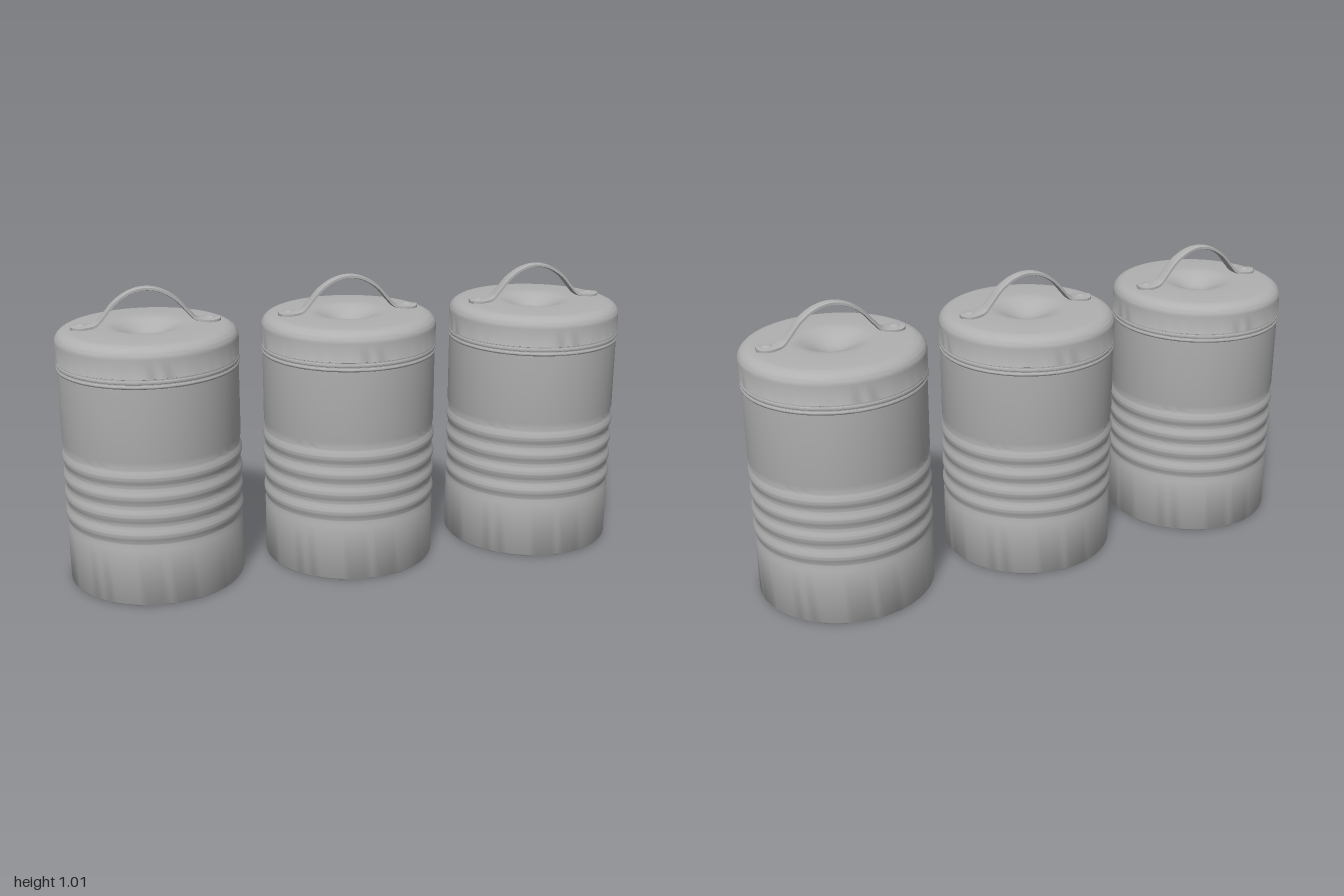
import * as THREE from 'three';
import { toCreasedNormals } from 'three/addons/utils/BufferGeometryUtils.js';

const steel = new THREE.MeshStandardMaterial({ color: 0xb0b0b0 });
steel.name = 'galvanised grey';

function part(name, geometry) {
  const mesh = new THREE.Mesh(geometry, steel);
  mesh.name = name;
  return mesh;
}

function turned(name, pairs) {
  const points = pairs.map(([r, y]) => new THREE.Vector2(r, y));
  return part(name, toCreasedNormals(new THREE.LatheGeometry(points, 72), 0.75));
}

// Straight wall with four soft pressed ribs around the lower half
function bodyProfile() {
  const pairs = [[0, 0], [0.296, 0], [0.3, 0.005], [0.3, 0.2]];
  const ribs = 4, steps = 12, low = 0.215, pitch = 0.066;
  for (let i = 0; i <= ribs * steps; i++) {
    const wave = Math.cos((i / steps) * Math.PI * 2);
    pairs.push([0.2995 - 0.004 * wave, low + (i / steps) * pitch]);
  }
  pairs.push([0.3, 0.5], [0.3, 0.78]);
  return pairs;
}

// Two thin beads, rounded shoulder, and a shallow finger dish in the middle
function lidProfile() {
  const pairs = [[0.298, 0.743]];
  for (const y of [0.75, 0.765]) {
    for (let i = 0; i <= 6; i++) {
      const a = -Math.PI / 2 + (i / 6) * Math.PI;
      pairs.push([0.2985 + 0.0045 * Math.cos(a), y + 0.0065 * Math.sin(a)]);
    }
  }
  pairs.push([0.298, 0.774], [0.3025, 0.776]);
  for (let i = 0; i <= 10; i++) {
    const a = (i / 10) * Math.PI / 2;
    pairs.push([0.2525 + 0.05 * Math.cos(a), 0.838 + 0.04 * Math.sin(a)]);
  }
  pairs.push([0.2, 0.881], [0.15, 0.881]);
  for (let i = 1; i <= 14; i++) {
    const r = 0.14 * (1 - i / 14);
    pairs.push([r, 0.881 - 0.02 * (1 + Math.cos(Math.PI * r / 0.14))]);
  }
  return pairs;
}

// Half width of the strap: slim over the arch, flaring to a round foot
function strapHalfWidth(x) {
  const foot = 0.213, radius = 0.036;
  const d = Math.abs(x);
  if (d > foot) return Math.sqrt(Math.max(radius ** 2 - (d - foot) ** 2, 0.00001));
  const flare = THREE.MathUtils.smoothstep(d, 0.145, foot);
  return 0.0165 + 0.006 * Math.min(d / 0.15, 1) + 0.0135 * flare;
}

// A box bent along the arch
function strapGeometry() {
  const path = new THREE.CatmullRomCurve3([
    [-0.248, 0.885], [-0.2, 0.885], [-0.165, 0.891], [-0.14, 0.916], [-0.1, 0.961],
    [-0.05, 0.992], [0, 1.002], [0.05, 0.992], [0.1, 0.961], [0.14, 0.916],
    [0.165, 0.891], [0.2, 0.885], [0.248, 0.885],
  ].map(([x, y]) => new THREE.Vector3(x, y, 0)));
  const geometry = new THREE.BoxGeometry(1, 1, 1, 96, 1, 6);
  const p = geometry.attributes.position;
  for (let i = 0; i < p.count; i++) {
    const t = p.getX(i) + 0.5;
    const c = path.getPointAt(t), d = path.getTangentAt(t);
    const z = p.getZ(i) * 2;
    const offset = p.getY(i) * 0.014 * (1 - 0.45 * z * z);
    p.setXYZ(i, c.x - d.y * offset, c.y + d.x * offset, z * strapHalfWidth(c.x));
  }
  return toCreasedNormals(geometry, 0.7);
}

function makeCanister() {
  const canister = new THREE.Group();
  canister.name = 'canister';
  canister.add(turned('body', bodyProfile()), turned('lid', lidProfile()));

  const handle = new THREE.Group();
  handle.name = 'handle';
  handle.add(part('strap', strapGeometry()));
  for (const side of [-1, 1]) {
    const rivet = part('rivet', new THREE.SphereGeometry(0.017, 20, 8, 0, Math.PI * 2, 0, Math.PI / 2));
    rivet.scale.y = 0.35;
    rivet.position.set(side * 0.213, 0.89, 0);
    handle.add(rivet);
  }
  canister.add(handle);
  return canister;
}

export function createModel() {
  const model = new THREE.Group();
  model.name = 'canisterSet';
  for (const x of [-0.696, 0, 0.696]) {
    const canister = makeCanister();
    canister.position.x = x;
    model.add(canister);
  }
  return model;
}
